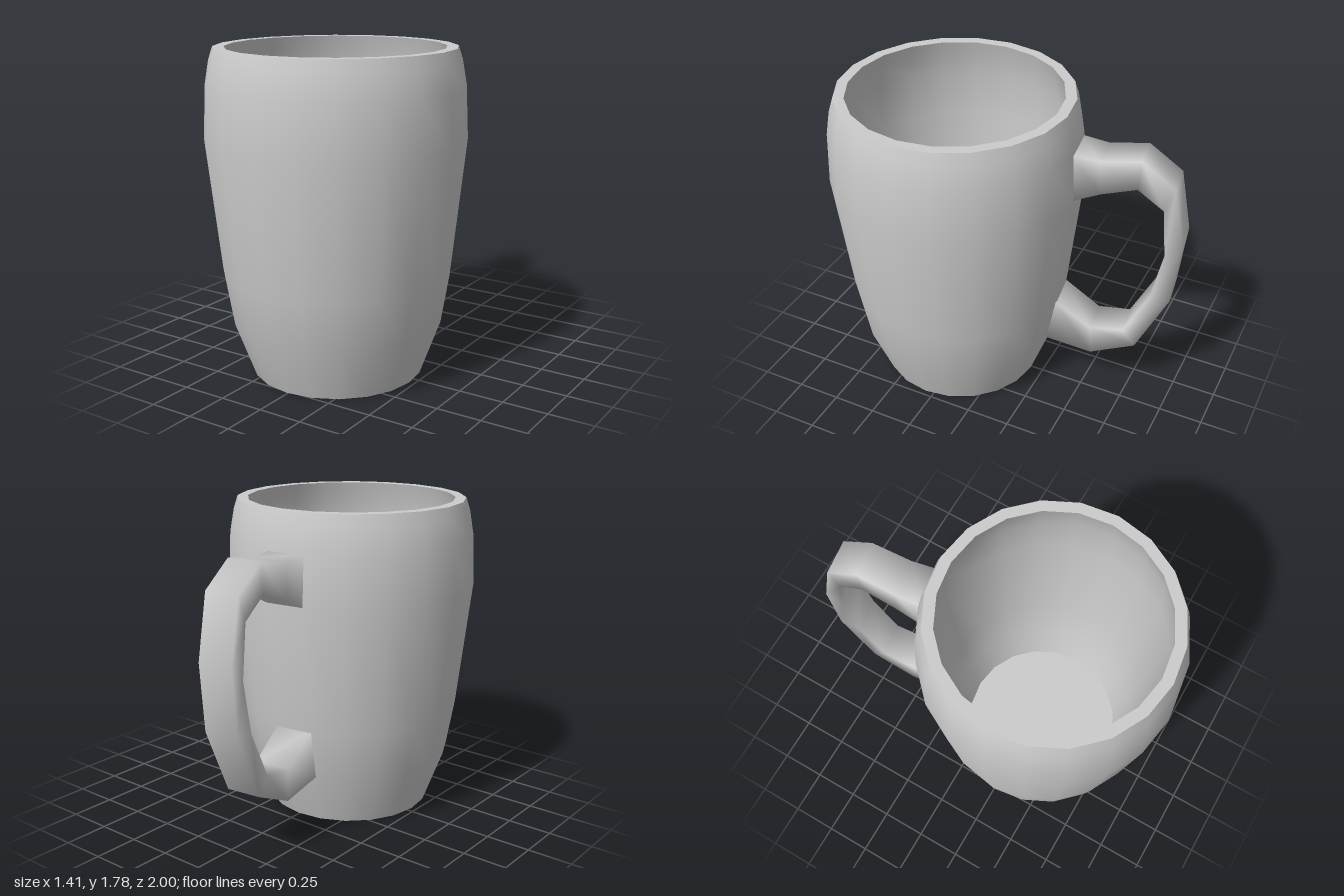
import * as THREE from 'three';
import { toCreasedNormals } from 'three/addons/utils/BufferGeometryUtils.js';

const CENTRE_Z = 0.295;
const SIDES = 20;

// Cup: one closed profile, base centre -> outer wall -> rim -> inner wall -> floor centre
function createCup(material) {
  const profile = [
    [0, 0], [0.47, 0], [0.583, 0.31], [0.628, 0.58], [0.705, 1.29],
    [0.692, 1.58], [0.668, 1.715], [0.645, 1.785],
    [0.585, 1.785], [0.61, 1.7], [0.632, 1.57], [0.645, 1.29],
    [0.57, 0.6], [0.525, 0.33], [0.455, 0.1], [0, 0.1],
  ].map(([r, y]) => new THREE.Vector2(r, y));
  const lathe = new THREE.LatheGeometry(profile, SIDES, THREE.MathUtils.degToRad(-1));
  const cup = new THREE.Mesh(toCreasedNormals(lathe, THREE.MathUtils.degToRad(38)), material);
  cup.name = 'cup';
  cup.position.z = CENTRE_Z;
  return cup;
}

// Handle: four-cornered sections swept from the upper joint to the lower one
function createHandle(material) {
  // outer z, outer y, inner z, inner y, width
  const stations = [
    [-0.36, 1.578, -0.36, 1.285, 0.22],
    [-0.52, 1.563, -0.535, 1.368, 0.205],
    [-0.735, 1.605, -0.725, 1.435, 0.195],
    [-0.92, 1.475, -0.87, 1.335, 0.195],
    [-0.988, 1.13, -0.9, 1.045, 0.195],
    [-0.955, 0.76, -0.842, 0.75, 0.195],
    [-0.785, 0.385, -0.71, 0.478, 0.195],
    [-0.535, 0.265, -0.525, 0.447, 0.205],
    [-0.25, 0.308, -0.3, 0.595, 0.22],
  ];
  const skew = -0.13; // the handle is turned slightly about the vertical
  const positions = [];
  const index = [];
  stations.forEach(([oz, oy, iz, iy, width], s) => {
    const corners = [[1, oz, oy], [-1, oz, oy], [-1, iz, iy], [1, iz, iy]];
    corners.forEach(([side, z, y], c) => {
      const dx = (side * width) / 2;
      const centreX = -0.09 + 0.112 * (z + 0.39);
      positions.push(centreX + dx, y, z + skew * dx);
      if (s === stations.length - 1) return;
      const a = s * 4 + c;
      const b = s * 4 + ((c + 1) % 4);
      index.push(a, a + 4, b, b, a + 4, b + 4);
    });
  });
  const geometry = new THREE.BufferGeometry();
  geometry.setAttribute('position', new THREE.Float32BufferAttribute(positions, 3));
  geometry.setIndex(index);
  geometry.computeVertexNormals();
  const handle = new THREE.Mesh(geometry, material);
  handle.name = 'handle';
  return handle;
}

export function createModel() {
  const group = new THREE.Group();
  group.name = 'mug';
  const material = new THREE.MeshStandardMaterial({ color: 0xcccccc });
  group.add(createCup(material), createHandle(material));
  return group;
}
